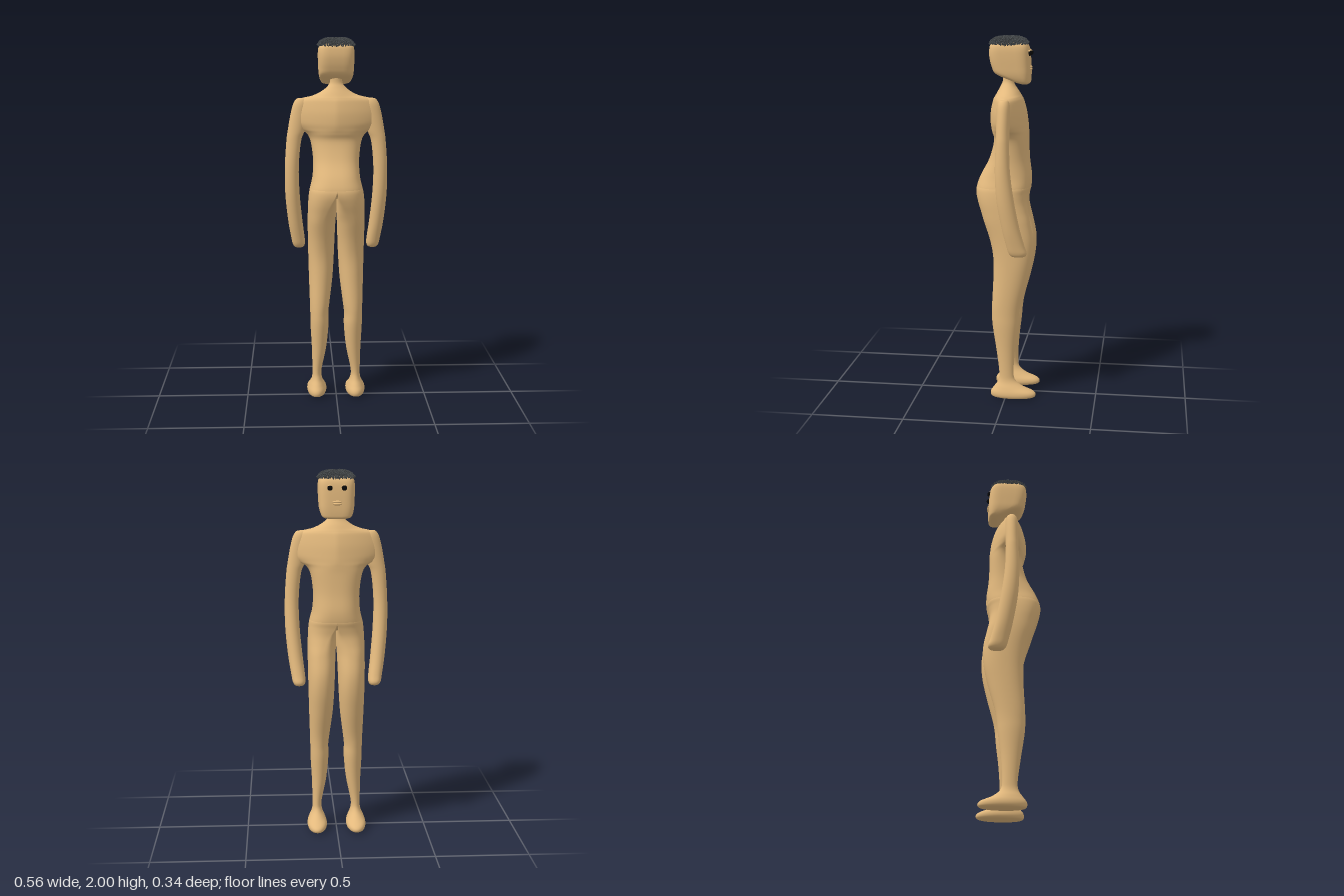
import * as THREE from 'three';
import { mergeGeometries } from 'three/addons/utils/BufferGeometryUtils.js';

const COLS = 48, STEPS = 5;

// Catmull-Rom value between b and c
function spline(a, b, c, d, t) {
  return 0.5 * (2 * b + (c - a) * t + (2 * a - 5 * b + 4 * c - d) * t * t + (3 * b - a - 3 * c + d) * t * t * t);
}

// Smooth skin through horizontal sections, listed top to bottom:
// [y, x min, x max, z min, z max, roundness exponent, flatness of the inner side]
function loft(sections, side = 1) {
  const rows = [], n = sections.length;
  const value = (i, c) => sections[Math.max(0, Math.min(n - 1, i))][c] ?? 0;
  const row = (i, t) => [0, 1, 2, 3, 4, 5, 6].map(c =>
    spline(value(i - 1, c), value(i, c), value(i + 1, c), value(i + 2, c), t));
  for (let i = 0; i < n - 1; i++) {
    for (let k = 0; k < STEPS; k++) rows.push(row(i, k / STEPS));
  }
  rows.push(row(n - 1, 0));

  const pos = [], index = [];
  for (const [y, x0, x1, z0, z1, p, flat] of rows) {
    for (let j = 0; j < COLS; j++) {
      const a = (j / COLS) * Math.PI * 2, c = Math.cos(a), s = Math.sin(a);
      const px = side * Math.sign(c) * Math.abs(c) ** (2 / p), pz = Math.sign(s) * Math.abs(s) ** (2 / p);
      const round = (x0 + x1) / 2 + px * (x1 - x0) / 2, half = x1 * Math.max(0, px);
      const x = THREE.MathUtils.lerp(round, half, Math.max(0, flat));
      pos.push(side * x, y, (z0 + z1) / 2 + pz * (z1 - z0) / 2);
    }
  }
  for (let i = 0; i < rows.length - 1; i++) {
    for (let j = 0; j < COLS; j++) {
      const a = i * COLS + j, b = i * COLS + (j + 1) % COLS;
      index.push(a, b, a + COLS, b, b + COLS, a + COLS);
    }
  }
  // end caps
  const last = (rows.length - 1) * COLS, top = rows.length * COLS;
  for (const r of [rows[0], rows[rows.length - 1]]) {
    pos.push(side * (r[1] + r[2]) / 2, r[0], (r[3] + r[4]) / 2);
  }
  for (let j = 0; j < COLS; j++) {
    const k = (j + 1) % COLS;
    index.push(top, k, j, top + 1, last + j, last + k);
  }
  const g = new THREE.BufferGeometry();
  g.setAttribute('position', new THREE.Float32BufferAttribute(pos, 3));
  g.setIndex(index);
  g.computeVertexNormals();
  return g;
}

// Section symmetric about the middle
const mid = (y, w, z0, z1, p) => [y, -w, w, z0, z1, p];

// Neck, shoulders running out into the arms, waist and hips
const TORSO = [
  mid(1.80, 0.034, -0.035, 0.028, 2), mid(1.76, 0.034, -0.032, 0.028, 2),
  mid(1.735, 0.05, -0.04, 0.038, 2), mid(1.708, 0.085, -0.058, 0.053, 1.9),
  mid(1.688, 0.13, -0.07, 0.064, 1.7), mid(1.675, 0.185, -0.078, 0.072, 1.5),
  mid(1.655, 0.219, -0.088, 0.081, 1.4), mid(1.60, 0.238, -0.103, 0.093, 1.4),
  mid(1.545, 0.235, -0.111, 0.095, 1.45), mid(1.51, 0.205, -0.114, 0.09, 1.6),
  mid(1.485, 0.163, -0.114, 0.083, 2), mid(1.44, 0.139, -0.114, 0.073, 2.4),
  mid(1.34, 0.126, -0.119, 0.10, 2.5), mid(1.25, 0.13, -0.13, 0.147, 2.6),
  mid(1.19, 0.143, -0.127, 0.168, 2.7), mid(1.165, 0.143, -0.115, 0.158, 2.7),
  mid(1.14, 0.12, -0.08, 0.12, 2.5),
];

const ARM = [
  [1.675, 0.175, 0.202, -0.012, 0.012, 2], [1.669, 0.155, 0.217, -0.026, 0.024, 2],
  [1.64, 0.145, 0.234, -0.035, 0.033, 2], [1.58, 0.15, 0.249, -0.037, 0.035, 2],
  [1.50, 0.17, 0.263, -0.036, 0.035, 2], [1.44, 0.191, 0.271, -0.036, 0.035, 2],
  [1.30, 0.204, 0.28, -0.042, 0.038, 2], [1.15, 0.20, 0.279, -0.062, 0.03, 2],
  [1.00, 0.186, 0.265, -0.09, 0.005, 2], [0.90, 0.174, 0.249, -0.116, -0.018, 2.2],
  [0.86, 0.172, 0.241, -0.128, -0.03, 2.3], [0.842, 0.18, 0.23, -0.118, -0.045, 2.2],
  [0.837, 0.195, 0.215, -0.095, -0.065, 2],
];

// Each leg starts as half of the hips and rounds off below the crotch
const LEG = [
  [1.225, 0, 0.126, -0.118, 0.148, 2.6, 1], [1.19, 0, 0.143, -0.127, 0.168, 2.7, 1],
  [1.155, 0, 0.150, -0.119, 0.17, 2.6, 0.85], [1.11, 0, 0.154, -0.112, 0.158, 2.5, 0.5],
  [1.06, 0, 0.156, -0.117, 0.14, 2.4, 0.2], [1.00, 0.004, 0.157, -0.13, 0.12, 2.3],
  [0.90, 0.008, 0.156, -0.149, 0.088, 2.2], [0.80, 0.012, 0.154, -0.145, 0.07, 2.2],
  [0.68, 0.02, 0.151, -0.12, 0.07, 2.1], [0.55, 0.036, 0.147, -0.085, 0.076, 2.1],
  [0.48, 0.044, 0.145, -0.073, 0.077, 2], [0.41, 0.043, 0.144, -0.067, 0.073, 2],
  [0.28, 0.056, 0.137, -0.052, 0.053, 2], [0.15, 0.082, 0.134, -0.045, 0.035, 2],
  [0.10, 0.08, 0.137, -0.056, 0.04, 2], [0.065, 0.066, 0.152, -0.10, 0.062, 2],
  [0.04, 0.056, 0.162, -0.157, 0.08, 2.1], [0.02, 0.055, 0.163, -0.170, 0.083, 2.1],
  [0.006, 0.064, 0.155, -0.155, 0.072, 2.1], [0.0, 0.085, 0.135, -0.10, 0.03, 2],
];

const HEAD = [
  mid(1.978, 0.04, -0.05, 0.04, 3), mid(1.972, 0.07, -0.083, 0.072, 3.5),
  mid(1.955, 0.09, -0.104, 0.09, 3.8), mid(1.93, 0.097, -0.115, 0.096, 4),
  mid(1.89, 0.098, -0.12, 0.096, 4), mid(1.84, 0.096, -0.123, 0.085, 4),
  mid(1.80, 0.093, -0.124, 0.063, 4), mid(1.77, 0.085, -0.123, -0.005, 3.5),
  mid(1.752, 0.073, -0.12, -0.05, 3), mid(1.744, 0.045, -0.11, -0.075, 2.5),
];

// Short thick tufts fanned over the crown
function hairGeometry() {
  let seed = 7;
  const rand = () => (seed = (seed * 16807) % 2147483647) / 2147483647;
  const up = new THREE.Vector3(0, 1, 0), tufts = [], count = 1100;
  for (let i = 0; i < count; i++) {
    const r = Math.sqrt((i + 0.5) / count), a = i * 2.399963;
    const c = Math.cos(a), s = Math.sin(a);
    // round the disc out towards the boxy outline of the head
    const k = r / (Math.abs(c) ** 3.4 + Math.abs(s) ** 3.4) ** (1 / 3.4);
    const length = 0.02 + 0.008 * rand();
    const lean = new THREE.Vector3(c * r + (rand() - 0.5) * 0.8, 1, s * r + (rand() - 0.5) * 0.8).normalize();
    const tuft = new THREE.CylinderGeometry(0.0022, 0.0058, length, 5);
    tuft.translate(0, length / 2 - 0.004, 0);
    tuft.applyQuaternion(new THREE.Quaternion().setFromUnitVectors(up, lean));
    tuft.translate(c * k * 0.087, 1.977 - 0.03 * r ** 5, s * k * 0.092 - 0.006);
    tufts.push(tuft);
  }
  return mergeGeometries(tufts);
}

export function createModel() {
  const model = new THREE.Group();
  model.name = 'figure';
  const material = (name, color) => Object.assign(new THREE.MeshStandardMaterial({ color }), { name });
  const skin = material('skin', 0xe3b97d);
  const hair = material('hair', 0x484c4e);
  const black = material('eyeBlack', 0x080808);

  const add = (name, geometry, mat, x = 0, y = 0, z = 0) => {
    const mesh = new THREE.Mesh(geometry, mat);
    mesh.name = name;
    mesh.position.set(x, y, z);
    model.add(mesh);
    return mesh;
  };

  add('torso', loft(TORSO), skin);
  add('head', loft(HEAD), skin);
  add('hair', hairGeometry(), hair);

  for (const [side, label] of [[1, 'left'], [-1, 'right']]) {
    add(label + 'Arm', loft(ARM, side), skin);
    add(label + 'Leg', loft(LEG, side), skin);
    add(label + 'Eye', new THREE.SphereGeometry(0.0145, 20, 14), black, side * 0.038, 1.908, -0.118);
    add(label + 'Eyelid', new THREE.SphereGeometry(0.011, 20, 14), skin, side * 0.038, 1.914, -0.117);
  }

  // lips
  for (const [name, y] of [['upperLip', 1.835], ['lowerLip', 1.824]]) {
    add(name, new THREE.SphereGeometry(1, 20, 12), skin, 0, y, -0.122).scale.set(0.025, 0.007, 0.01);
  }
  return model;
}
